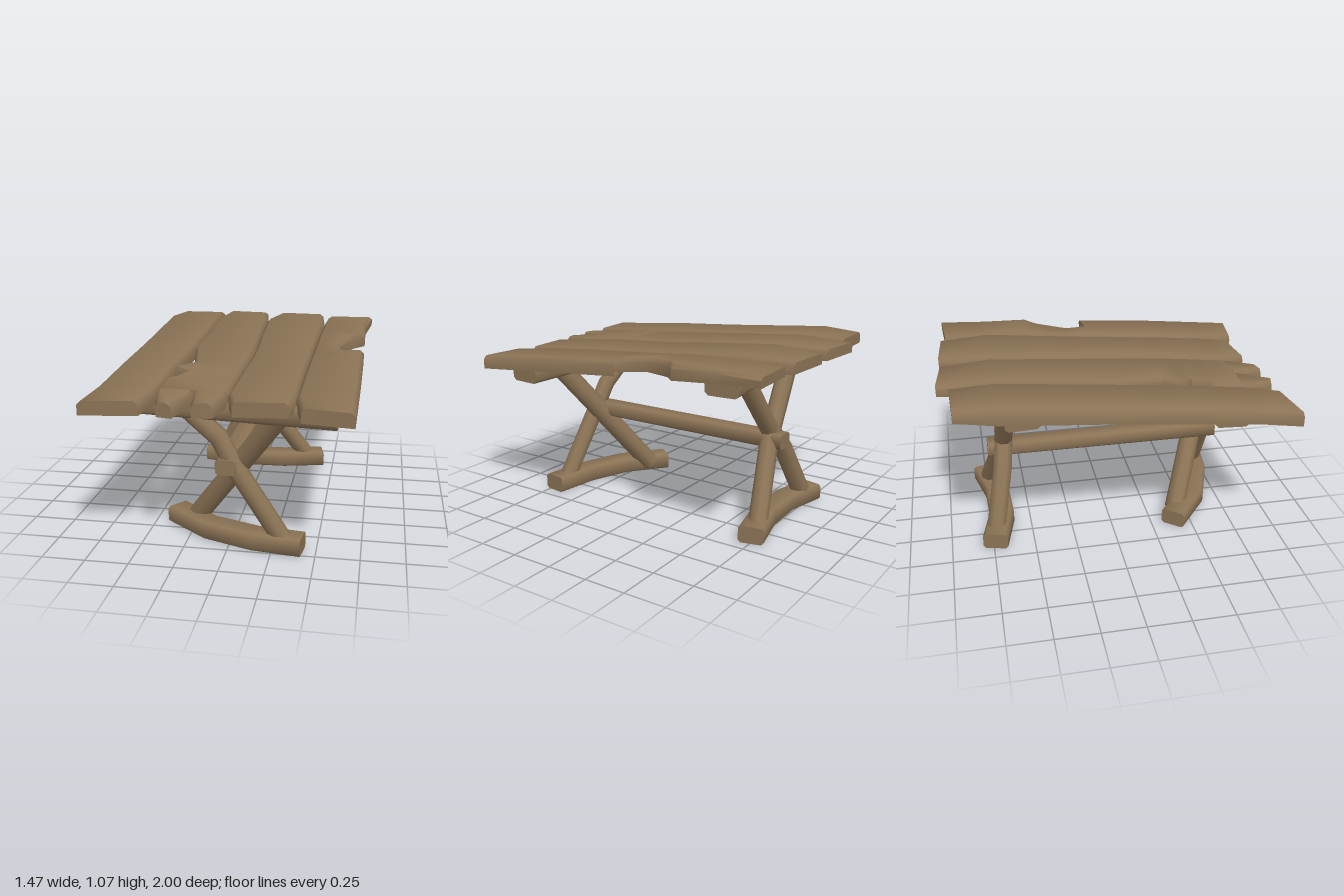
import * as THREE from 'three';
import { toCreasedNormals } from 'three/addons/utils/BufferGeometryUtils.js';

// Closed solid through equal rings of points, each ring clockwise about the path direction
function loft(rings, crease) {
  const n = rings[0].length, last = (rings.length - 1) * n, idx = [];
  for (let j = 0; j < n; j++) {
    const k = (j + 1) % n;
    for (let r = 0; r < last; r += n) {
      idx.push(r + j, r + n + k, r + k, r + j, r + n + j, r + n + k);
    }
    if (j > 0 && j < n - 1) idx.push(0, j, k, last, last + k, last + j);
  }
  const geo = new THREE.BufferGeometry();
  geo.setAttribute('position', new THREE.Float32BufferAttribute(rings.flat(2), 3));
  geo.setIndex(idx);
  return toCreasedNormals(geo, crease);
}

// Piecewise linear lookup through [z, y] pairs sorted by z
function lookup(pairs, z) {
  let i = 1;
  while (i < pairs.length - 1 && z > pairs[i][0]) i++;
  const [z0, y0] = pairs[i - 1], [z1, y1] = pairs[i];
  return y0 + (y1 - y0) * (z - z0) / (z1 - z0);
}

// Sloping upper and lower surfaces of the table top
const TOP = [[-1, 1.06], [-0.68, 1.07], [0, 1.01], [0.4, 0.98], [1, 0.92]];
const BOTTOM = [[-1, 1.0], [0, 0.928], [1, 0.84]];
const EDGE = 0.022;

// Board through rows of [left x, left z, right x, right z], with worn upper edges
function plank(rows, maxY = 1.07) {
  const point = (x, z, t) => {
    const top = Math.min(lookup(TOP, z), maxY);
    return [x, THREE.MathUtils.lerp(lookup(BOTTOM, z), top, t), z];
  };
  const rings = rows.map(([xl, zl, xr, zr]) => [
    point(xl, zl, 0), point(xl, zl, 0.72), point(xl + EDGE, zl, 1),
    point(xr - EDGE, zr, 1), point(xr, zr, 0.72), point(xr, zr, 0),
  ]);
  return loft(rings, 0.9);
}

// Log along a bent path; w and h are half sizes, c is the corner cut of its eight-sided section
function log(path, w, h, c = 0.586 * w) {
  const section = [
    [w, h - c], [w - c, h], [c - w, h], [-w, h - c],
    [-w, c - h], [c - w, -h], [w - c, -h], [w, c - h],
  ];
  const pts = path.map((a) => new THREE.Vector3(...a));
  const end = pts.length - 1;
  const steep = Math.abs(pts[end].clone().sub(pts[0]).normalize().y) > 0.5;
  const ref = steep ? new THREE.Vector3(0, 0, 1) : new THREE.Vector3(0, 1, 0);
  const rings = pts.map((p, i) => {
    const t = pts[Math.min(i + 1, end)].clone().sub(pts[Math.max(i - 1, 0)]).normalize();
    const side = t.clone().cross(ref).normalize();
    const top = side.clone().cross(t);
    return section.map(([u, v]) => p.clone().addScaledVector(side, u).addScaledVector(top, v).toArray());
  });
  return loft(rings, 1.0);
}

export function createModel() {
  const model = new THREE.Group();
  model.name = 'rusticTable';
  const wood = new THREE.MeshStandardMaterial({ color: 0x8b7355 });
  wood.name = 'weathered wood';
  const add = (name, geo) => {
    const mesh = new THREE.Mesh(geo, wood);
    mesh.name = name;
    model.add(mesh);
  };

  // Table top, four worn boards from right to left
  add('rightPlank', plank([
    [-0.63, -0.92, -0.33, -0.93], [-0.672, -0.68, -0.322, -0.68], [-0.685, 0, -0.335, 0],
    [-0.695, 0.4, -0.36, 0.4], [-0.708, 0.78, -0.375, 0.78], [-0.738, 0.998, -0.42, 0.965],
  ]));
  add('splinteredPlank', plank([
    [-0.305, -1, -0.015, -0.972], [-0.322, -0.68, 0.02, -0.68], [-0.328, -0.3, 0.03, -0.3],
    [-0.335, 0, 0.045, 0], [-0.27, 0.31, 0.04, 0.3], [-0.37, 0.41, 0.035, 0.4],
    [-0.28, 0.48, 0.033, 0.48], [-0.33, 0.57, 0.03, 0.57], [-0.368, 0.6, 0.028, 0.6],
    [-0.372, 0.78, 0.022, 0.78],
  ]));
  // Two split teeth at the front of the splintered board
  add('outerTooth', plank([[-0.372, 0.77, -0.165, 0.77], [-0.325, 0.965, -0.24, 0.98]]));
  add('innerTooth', plank([[-0.165, 0.77, 0.022, 0.77], [-0.14, 0.965, -0.03, 0.95]]));
  add('middlePlank', plank([
    [0.075, -0.98, 0.385, -0.962], [0.02, -0.68, 0.415, -0.68], [0.03, -0.3, 0.405, -0.3],
    [0.045, 0, 0.398, 0], [0.045, 0.2, 0.394, 0.2], [0.035, 0.4, 0.39, 0.4],
    [0.022, 0.78, 0.385, 0.78], [0.065, 0.92, 0.36, 0.895],
  ]));
  add('brokenPlank', plank([
    [0.427, -0.935, 0.733, -0.955], [0.415, -0.68, 0.697, -0.68], [0.408, -0.41, 0.7, -0.41],
    [0.406, -0.33, 0.63, -0.34], [0.402, -0.15, 0.55, -0.15], [0.398, 0, 0.61, 0.05],
    [0.392, 0.3, 0.705, -0.035], [0.39, 0.4, 0.705, 0.4], [0.385, 0.78, 0.702, 0.78],
    [0.425, 0.955, 0.7, 0.99],
  ], 1.052));

  // Beams carrying the boards
  add('frontBeam', log([[0.61, 0.825, 0.74], [-0.57, 0.838, 0.645]], 0.1, 0.055, 0.02));
  add('backBeam', log([[0.57, 0.925, -0.64], [-0.57, 0.935, -0.55]], 0.1, 0.053, 0.02));

  // Crossed front legs
  add('frontBentLeg', log([[0.315, 0.06, 0.69], [0.02, 0.5, 0.66], [-0.06, 0.64, 0.64], [-0.28, 0.82, 0.61]], 0.052, 0.052));
  add('frontStraightLeg', log([[-0.25, 0.05, 0.42], [0.285, 0.805, 0.745]], 0.058, 0.058));

  // Crossed back legs
  add('backBentLeg', log([[-0.3, 0.05, -0.73], [-0.14, 0.41, -0.655], [0, 0.56, -0.63], [0.3, 0.92, -0.62]], 0.055, 0.055));
  add('backStraightLeg', log([[0.32, 0.05, -0.74], [0, 0.5, -0.64], [-0.3, 0.93, -0.61]], 0.052, 0.052));

  // Curved feet
  add('frontFoot', log([[0.425, 0.053, 0.705], [0.15, 0.053, 0.67], [-0.13, 0.053, 0.57], [-0.375, 0.053, 0.375]], 0.075, 0.05, 0.015));
  add('backFoot', log([[0.42, 0.053, -0.755], [0.15, 0.053, -0.69], [-0.15, 0.053, -0.68], [-0.41, 0.053, -0.74]], 0.075, 0.05, 0.015));

  // Long stretcher joining the two crosses
  add('stretcher', log([[-0.01, 0.488, 0.72], [-0.01, 0.488, -0.735]], 0.059, 0.044, 0.014));

  return model;
}
